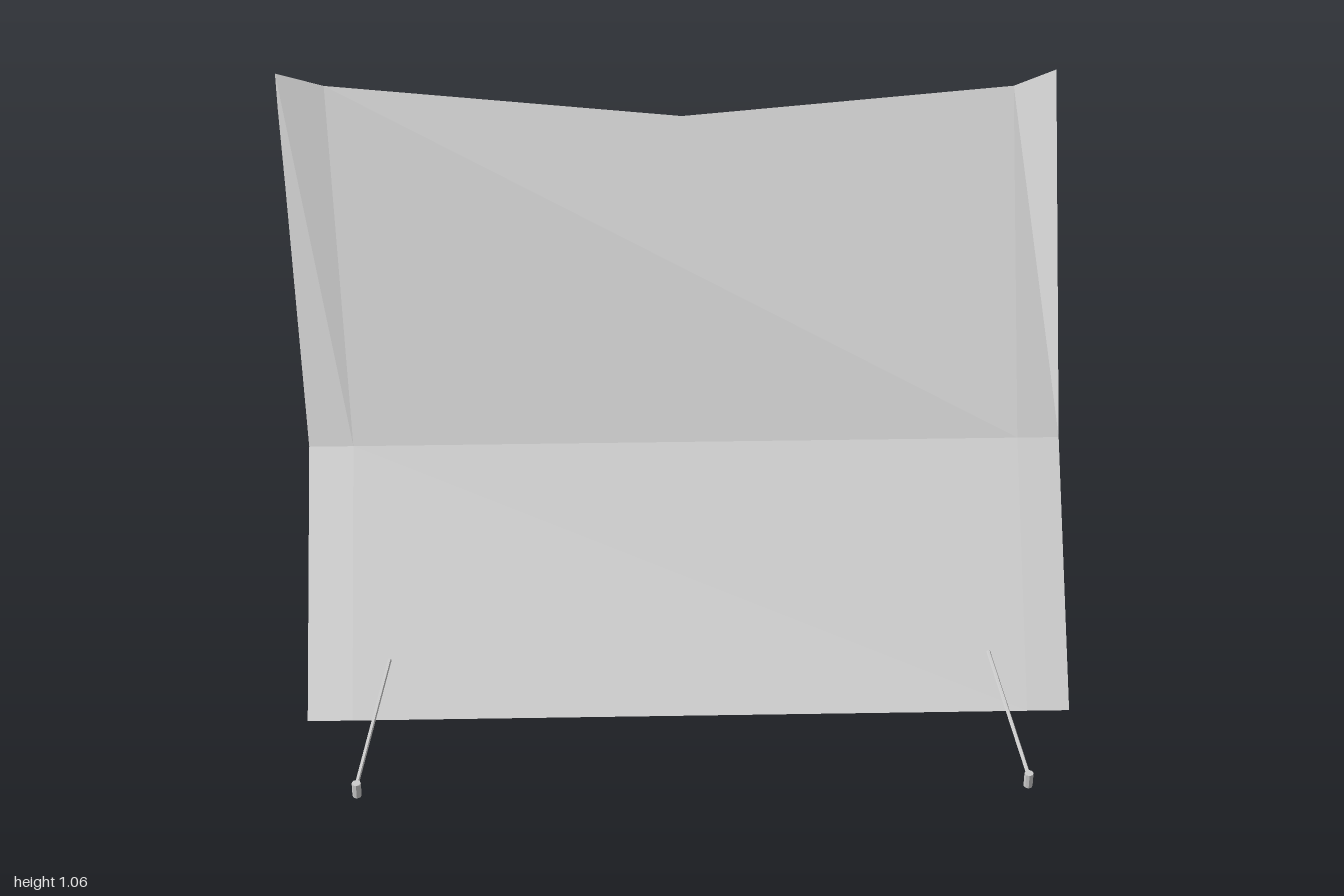
import * as THREE from 'three';

const material = new THREE.MeshStandardMaterial({ color: 0xcccccc, flatShading: true, side: THREE.DoubleSide });

// Cross-sections along the ridge: ridge x, ridge height, x of knee and base.
// The middle one shares its knee with the next, so the cloth sags in long folds.
const STATIONS = [
  [-0.797, 1.06, -0.74],
  [-0.70, 1.03, -0.65],
  [0.03, 0.95, 0.71],
  [0.71, 1.013, 0.71],
  [0.795, 1.05, 0.795],
];

// Ridge, knee and base points of one side
const section = ([rx, ry, kx], side, inner) => [
  new THREE.Vector3(rx, ry - (inner ? 0.08 : 0), 0),
  new THREE.Vector3(kx, inner ? 0.385 : 0.403, side * (inner ? 0.36 : 0.385)),
  new THREE.Vector3(kx, inner ? 0.03 : 0, side * (inner ? 0.71 : 0.768)),
];

function add(group, name, geometry) {
  const mesh = new THREE.Mesh(geometry, material);
  mesh.name = name;
  group.add(mesh);
  return mesh;
}

// One sloping side: outer cloth, inner cloth and the rims at both ends
function slopeGeometry(side) {
  const points = [];
  const tri = (a, b, c) => {
    const area = b.clone().sub(a).cross(c.clone().sub(a)).length();
    if (area < 1e-6) return;
    for (const p of side > 0 ? [a, c, b] : [a, b, c]) points.push(p);
  };
  const quad = (a, b, c, d) => { tri(a, b, c); tri(a, c, d); };
  const outer = STATIONS.map((s) => section(s, side, false));
  const inner = STATIONS.map((s) => section(s, side, true));
  const last = STATIONS.length - 1;
  for (let i = 0; i < last; i++) {
    for (let j = 0; j < 2; j++) {
      quad(outer[i][j], outer[i + 1][j], outer[i + 1][j + 1], outer[i][j + 1]);
      quad(inner[i][j + 1], inner[i + 1][j + 1], inner[i + 1][j], inner[i][j]);
    }
  }
  for (let j = 0; j < 2; j++) {
    quad(outer[0][j], outer[0][j + 1], inner[0][j + 1], inner[0][j]);
    quad(inner[last][j], inner[last][j + 1], outer[last][j + 1], outer[last][j]);
  }
  const geometry = new THREE.BufferGeometry().setFromPoints(points);
  geometry.computeVertexNormals();
  return geometry;
}

const toShape = (pts) => new THREE.Shape(pts.map(([z, y]) => new THREE.Vector2(z, y)));

// Extrudes a (z, y) outline along x from xMin, leaning towards -x with height
function panelGeometry(shape, xMin, thickness, lean = 0) {
  const geometry = new THREE.ExtrudeGeometry(shape, { depth: thickness, bevelEnabled: false });
  geometry.rotateY(-Math.PI / 2);
  geometry.translate(xMin + thickness, 0, 0);
  const pos = geometry.attributes.position;
  for (let i = 0; i < pos.count; i++) pos.setX(i, pos.getX(i) - lean * pos.getY(i));
  geometry.computeVertexNormals();
  return geometry;
}

export function createModel() {
  const tent = new THREE.Group();
  tent.name = 'tent';

  // Cloth
  add(tent, 'frontSlope', slopeGeometry(1));
  add(tent, 'backSlope', slopeGeometry(-1));

  // Ground sheet
  const floor = toShape([[-0.768, 0], [0.768, 0], [0.71, 0.03], [-0.71, 0.03]]);
  add(tent, 'floor', panelGeometry(floor, -0.74, 1.535));

  // End walls, the entrance one with a triangular doorway
  const wall = () => toShape([[-0.71, 0.03], [0.71, 0.03], [0.36, 0.388], [0, 0.96], [-0.36, 0.388]]);
  add(tent, 'closedWall', panelGeometry(wall(), 0.745, 0.02));
  const entrance = wall();
  entrance.holes.push(toShape([[-0.18, 0.031], [0, 0.755], [0.18, 0.031]]));
  add(tent, 'entranceWall', panelGeometry(entrance, -0.65, 0.02, 0.05));
  const door = toShape([[-0.19, 0.03], [0.19, 0.03], [0, 0.79]]);
  add(tent, 'door', panelGeometry(door, -0.63, 0.01, 0.05));

  // Guy ropes and pegs
  for (const [xTop, xPeg] of [[-0.575, -0.627], [0.635, 0.685]]) {
    for (const side of [-1, 1]) {
      const rope = new THREE.LineCurve3(
        new THREE.Vector3(xTop, 0.09, side * 0.688),
        new THREE.Vector3(xPeg, 0.027, side * 0.99));
      add(tent, 'guyRope', new THREE.TubeGeometry(rope, 1, 0.004, 6));
      add(tent, 'peg', new THREE.CylinderGeometry(0.009, 0.009, 0.032, 8))
        .position.set(xPeg, 0.018, side * 0.991);
    }
  }
  return tent;
}
